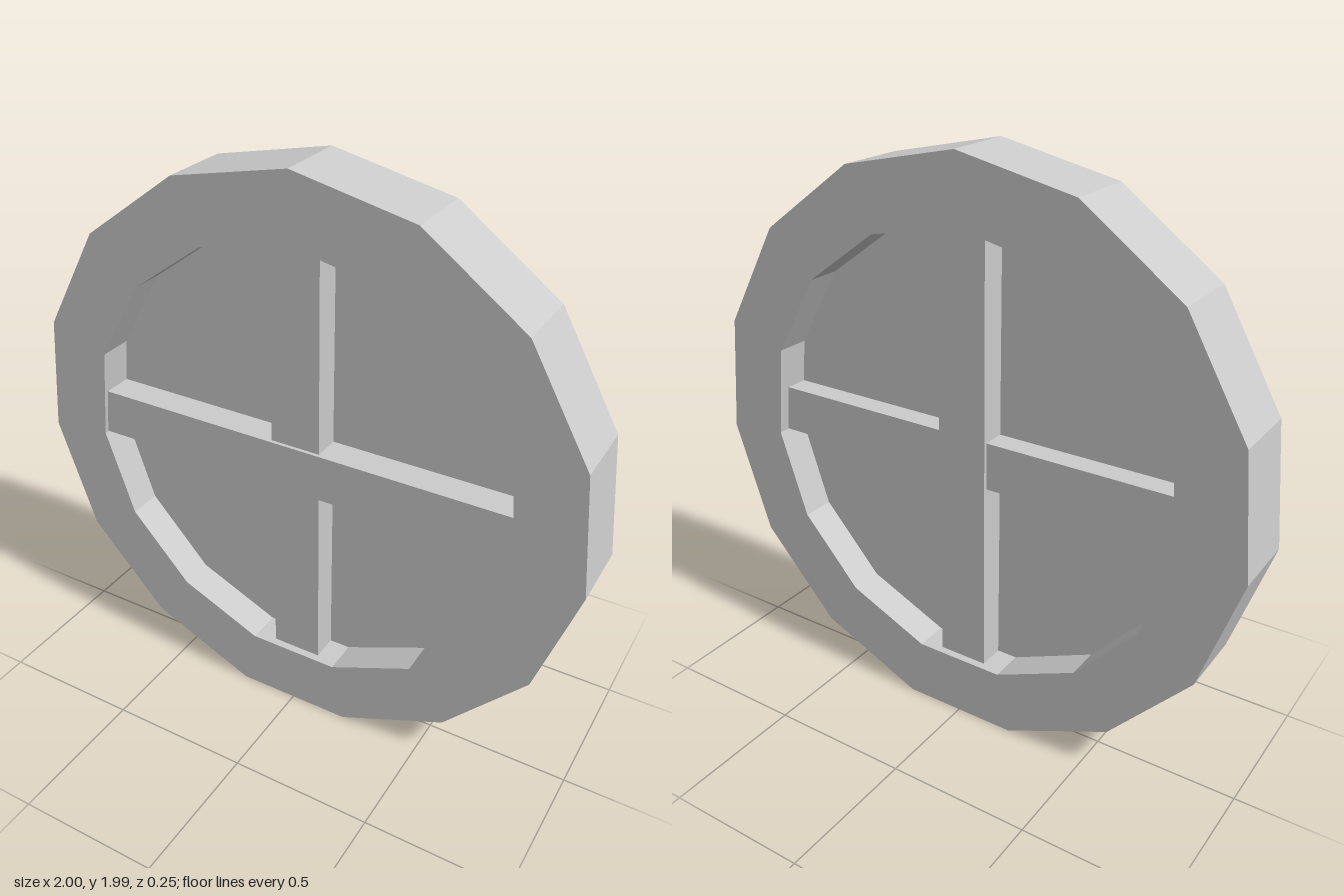
import * as THREE from 'three';

const SIDES = 15;
const CENTER_Y = 0.984;

// Regular polygon with one corner pointing straight up
function polygon(radius) {
  return Array.from({ length: SIDES }, (_, i) => {
    const a = Math.PI / 2 + (i * Math.PI * 2) / SIDES;
    return new THREE.Vector2(Math.cos(a) * radius, Math.sin(a) * radius);
  });
}

// Flat polygonal slab, centred on z = 0
function slab(outer, depth, inner) {
  const shape = new THREE.Shape(polygon(outer));
  if (inner) shape.holes.push(new THREE.Path(polygon(inner)));
  const geometry = new THREE.ExtrudeGeometry(shape, { depth, bevelEnabled: false });
  return geometry.translate(0, 0, -depth / 2);
}

export function createModel() {
  const group = new THREE.Group();
  group.name = 'roundWindow';
  const material = new THREE.MeshStandardMaterial({ color: 0xcccccc, flatShading: true });

  function add(name, geometry, y = CENTER_Y, z = 0) {
    const mesh = new THREE.Mesh(geometry, material);
    mesh.name = name;
    mesh.position.set(0, y, z);
    group.add(mesh);
  }

  // Faceted ring frame and the thin pane in its middle plane
  add('frame', slab(1.0055, 0.25, 0.78));
  add('pane', slab(0.79, 0.008));

  // Crossing bars, ends sunk into the frame; the horizontal one sits further forward
  add('verticalBar', new THREE.BoxGeometry(0.177, 1.57, 0.195));
  add('horizontalBar', new THREE.BoxGeometry(1.57, 0.165, 0.195), 0.988, 0.0125);

  return group;
}
